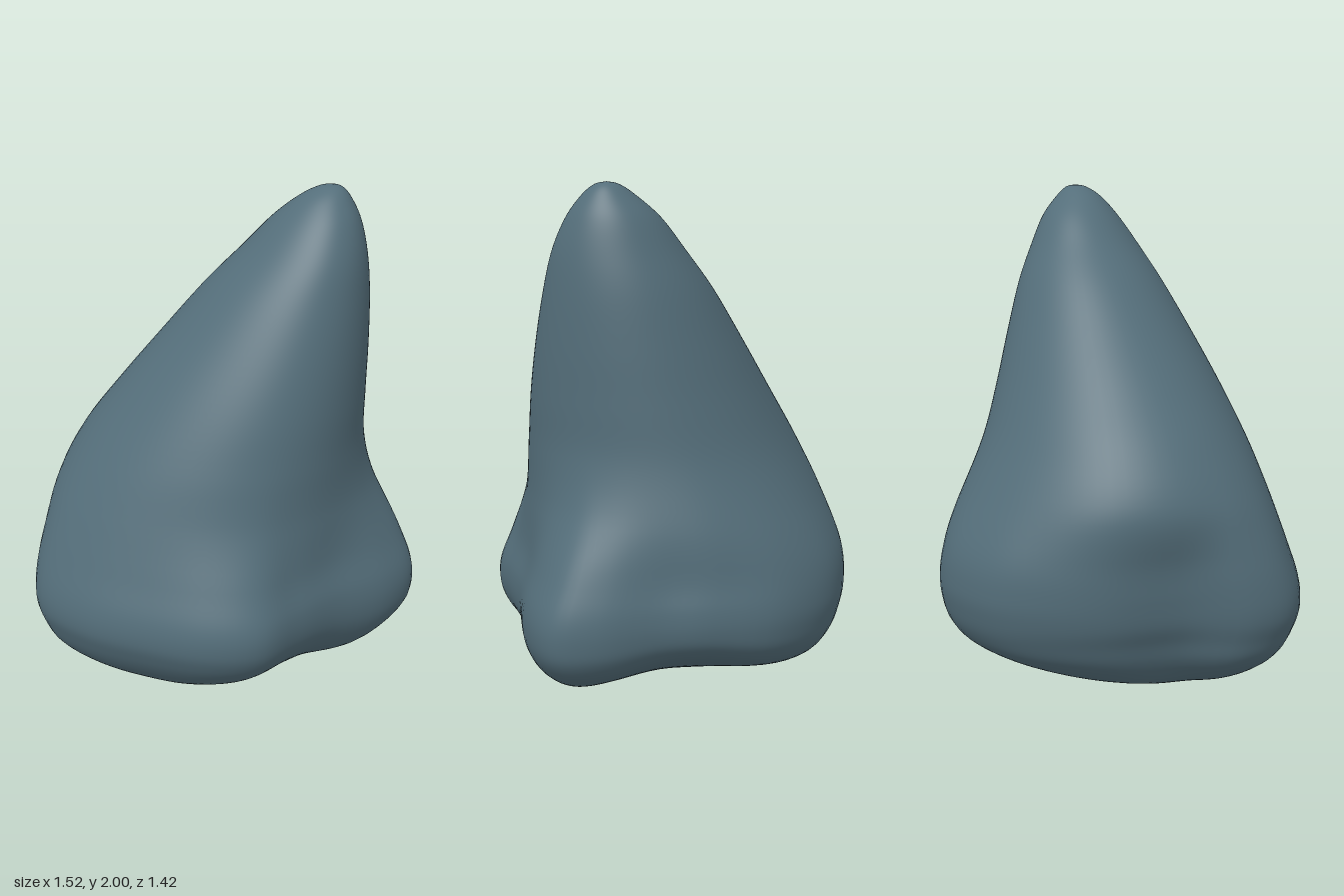
import * as THREE from 'three';
import { mergeVertices } from 'three/addons/utils/BufferGeometryUtils.js';

// Lobed plan outline of the base (x, z), from +x round towards +z
const LOBES = [
  [0.71, 0.02], [0.755, 0.24], [0.73, 0.41], [0.56, 0.52], [0.3, 0.58], [0.1, 0.65], [-0.09, 0.71],
  [-0.28, 0.65], [-0.47, 0.495], [-0.655, 0.285], [-0.76, 0.04], [-0.7, -0.16], [-0.5, -0.32],
  [-0.3, -0.545], [-0.08, -0.67], [0.15, -0.71], [0.42, -0.63], [0.61, -0.44], [0.69, -0.19],
];

// Sections from the bottom up: y, xMin, xMax, zMin, zMax, lobe strength (0 = round)
const SECTIONS = [
  [0, -0.17, -0.17, 0.1, 0.1, 0.7],
  [0.01, -0.29, -0.05, -0.02, 0.22, 0.7],
  [0.04, -0.41, 0.08, -0.18, 0.3, 0.8],
  [0.09, -0.54, 0.27, -0.37, 0.42, 0.95],
  [0.15, -0.64, 0.53, -0.52, 0.54, 1.05],
  [0.21, -0.7, 0.67, -0.61, 0.62, 1.1],
  [0.28, -0.735, 0.735, -0.66, 0.68, 1.1],
  [0.36, -0.76, 0.755, -0.69, 0.71, 1.05],
  [0.46, -0.755, 0.75, -0.705, 0.705, 1],
  [0.6, -0.715, 0.71, -0.69, 0.65, 0.85],
  [0.8, -0.63, 0.65, -0.61, 0.58, 0.3],
  [1.0, -0.51, 0.605, -0.51, 0.555, 0.05],
  [1.2, -0.365, 0.59, -0.4, 0.535, 0],
  [1.4, -0.21, 0.58, -0.29, 0.505, 0],
  [1.6, -0.05, 0.565, -0.175, 0.465, 0],
  [1.75, 0.085, 0.54, -0.07, 0.425, 0],
  [1.87, 0.19, 0.51, 0.02, 0.37, 0],
  [1.95, 0.275, 0.47, 0.11, 0.31, 0],
  [1.99, 0.345, 0.435, 0.17, 0.26, 0],
  [2, 0.395, 0.395, 0.215, 0.215, 0],
];

// Low dents and bulges of the underside: x, z, vertical shift, radius
const UNDERSIDE = [
  [0.45, 0.45, -0.05, 0.24],
  [0.62, -0.12, 0.06, 0.28],
];

const AROUND = 96;
const UP = 114;

function spline(points, closed) {
  return new THREE.CatmullRomCurve3(points.map((p) => new THREE.Vector3(...p)), closed, 'catmullrom', 0.5);
}

// Stretch a list of values to span lo..hi exactly
function fit(values, lo, hi) {
  const min = Math.min(...values), max = Math.max(...values);
  return values.map((v) => THREE.MathUtils.mapLinear(v, min, max, lo, hi));
}

// Height shift of a point near the underside, fading out upwards
function undersideShift(x, y, z) {
  const fade = 1 - THREE.MathUtils.smoothstep(y, 0.15, 0.6);
  return UNDERSIDE.reduce((sum, [cx, cz, shift, r]) =>
    sum + fade * shift * Math.exp(-((x - cx) ** 2 + (z - cz) ** 2) / (r * r)), 0);
}

// Near-circular outline of the peak: fuller at the back left corner, flatter at the front left
function peakOutline(p) {
  const { x, z } = p.clone().normalize();
  const back = Math.max(0, -x - z) ** 4 / 4;
  const front = Math.max(0, z - x) ** 4 / 4;
  const r = 1 + 0.11 * back - 0.05 * front;
  return new THREE.Vector3(x * r, 0, z * r);
}

function rockGeometry() {
  const lobes = spline(LOBES.map(([x, z]) => [x / 0.76, 0, z / 0.71]), true);
  const outline = Array.from({ length: AROUND }, (_, j) => lobes.getPoint(j / AROUND));
  const spanX = spline(SECTIONS.map((s) => s.slice(0, 3)), false);
  const spanZ = spline(SECTIONS.map((s) => s.slice(3, 6)), false);
  const positions = [];
  const index = [];

  for (let i = 0; i <= UP; i++) {
    const { x: height, y: x0, z: x1 } = spanX.getPoint(i / UP);
    const { x: z0, y: z1, z: strength } = spanZ.getPoint(i / UP);
    const y = THREE.MathUtils.clamp(height, 0, 2);
    // Blend between the peak and base outlines, then fit to the section's extents
    const ring = outline.map((p) => peakOutline(p).lerp(p, strength));
    const xs = fit(ring.map((p) => p.x), x0, x1);
    const zs = fit(ring.map((p) => p.z), z0, z1);
    for (let j = 0; j < AROUND; j++) {
      positions.push(xs[j], Math.max(0, y + undersideShift(xs[j], y, zs[j])), zs[j]);
      if (i === UP) continue;
      const a = i * AROUND + j;
      const b = i * AROUND + ((j + 1) % AROUND);
      index.push(a, a + AROUND, b, b, a + AROUND, b + AROUND);
    }
  }

  const geometry = new THREE.BufferGeometry();
  geometry.setAttribute('position', new THREE.Float32BufferAttribute(positions, 3));
  geometry.setIndex(index);
  // Weld the two poles so the shading stays smooth
  const welded = mergeVertices(geometry, 1e-5);
  welded.computeVertexNormals();
  return welded;
}

export function createModel() {
  const group = new THREE.Group();
  group.name = 'pointedRock';
  const rock = new THREE.Mesh(rockGeometry(), new THREE.MeshStandardMaterial({ color: 0x546e7a }));
  rock.name = 'rock';
  group.add(rock);
  return group;
}
